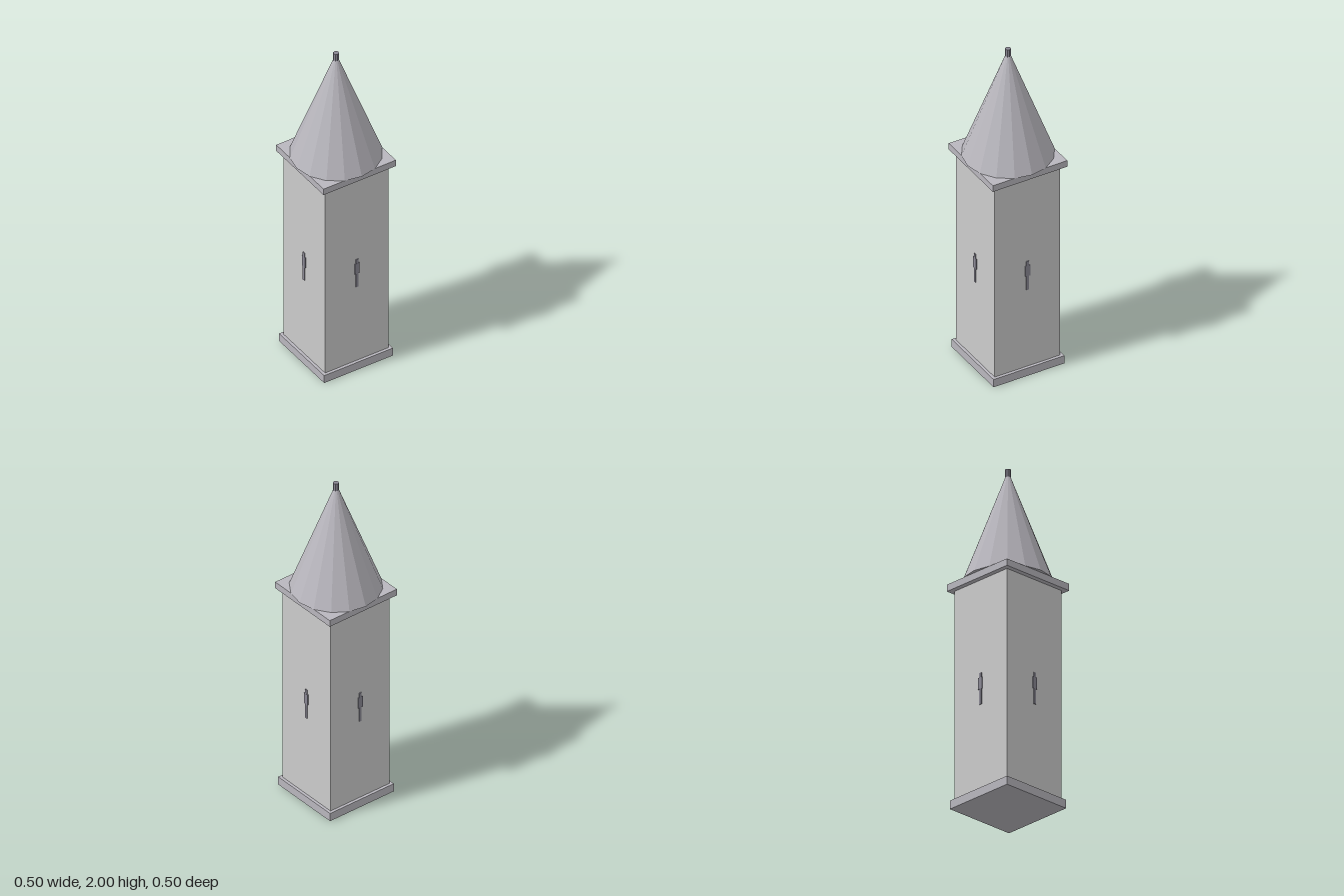
import * as THREE from 'three';

export function createModel() {
  const tower = new THREE.Group();
  tower.name = 'tower';
  const wall = new THREE.MeshStandardMaterial({ color: 0xcccccc, flatShading: true });
  const trim = new THREE.MeshStandardMaterial({ color: 0xb9b7be, flatShading: true });
  const dark = new THREE.MeshStandardMaterial({ color: 0x8a8894, flatShading: true });

  const add = (name, geometry, material, y, parent = tower, z = 0) => {
    const mesh = new THREE.Mesh(geometry, material);
    mesh.name = name;
    mesh.position.set(0, y, z);
    parent.add(mesh);
  };
  // Square block spanning y0 to y1
  const block = (name, width, y0, y1, material) =>
    add(name, new THREE.BoxGeometry(width, y1 - y0, width), material, (y0 + y1) / 2);

  // Masonry
  block('base', 0.44, 0, 0.05, trim);
  block('shaft', 0.406, 0.05, 1.285, wall);
  block('cornice', 0.463, 1.285, 1.325, trim);

  // Sixteen-sided spire with a short finial
  add('roof', new THREE.ConeGeometry(0.252, 0.67, 16), trim, 1.66);
  add('finial', new THREE.CylinderGeometry(0.016, 0.016, 0.06, 8), dark, 1.97);

  // A cross-shaped arrow slit in the middle of each wall
  for (let i = 0; i < 4; i++) {
    const slit = new THREE.Group();
    slit.name = 'arrowSlit';
    slit.rotation.y = (i * Math.PI) / 2;
    add('slitUpright', new THREE.BoxGeometry(0.016, 0.185, 0.016), dark, 0.6425, slit, 0.2);
    add('slitCrossbar', new THREE.BoxGeometry(0.03, 0.068, 0.017), dark, 0.674, slit, 0.2);
    tower.add(slit);
  }
  return tower;
}
